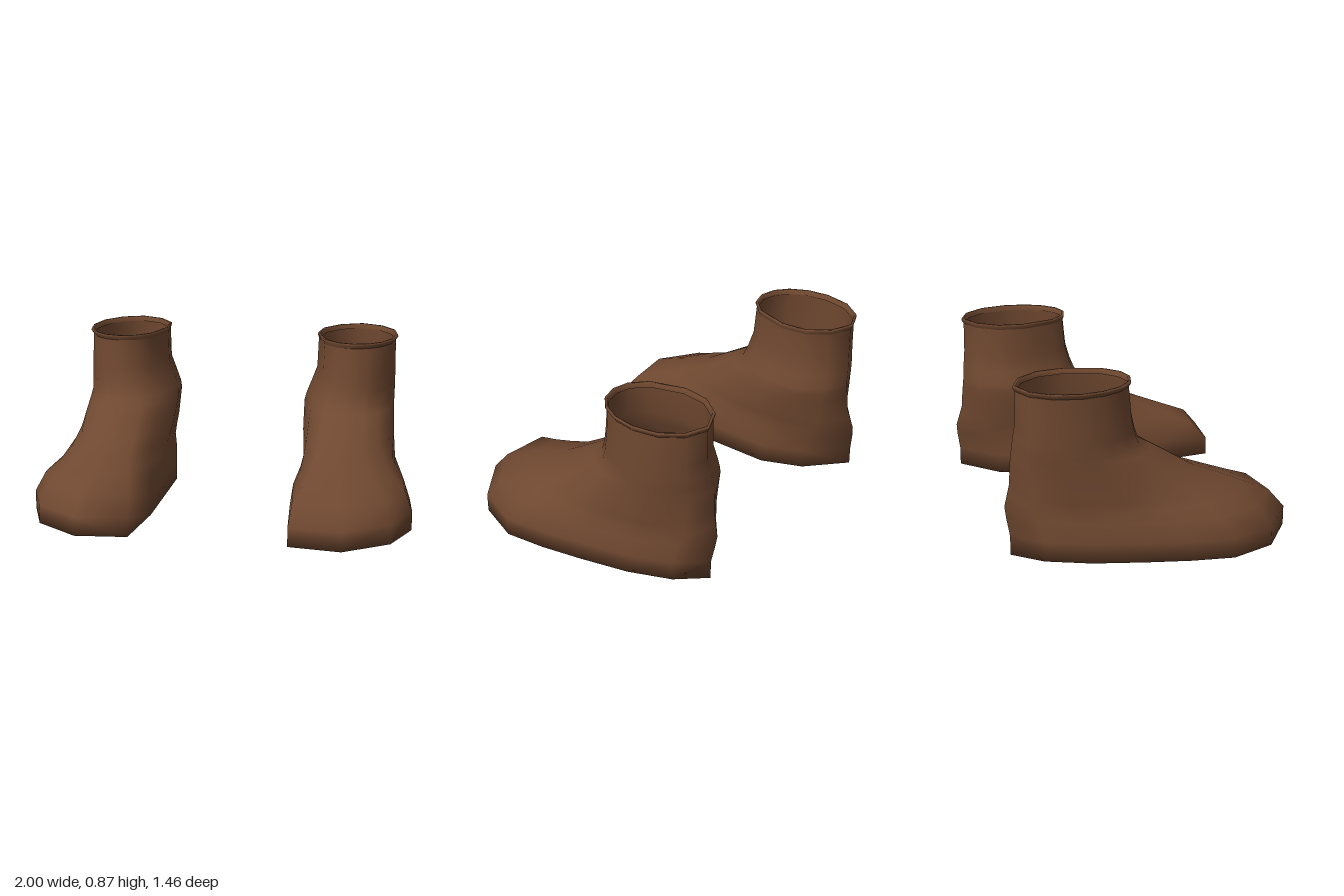
import * as THREE from 'three';

// Outlines as [u, v]: u across (-1 inner, 1 outer), v from heel (0) to toe (1)
const SOLE = [[-0.1, 0], [0.3, 0.1], [0.58, 0.25], [0.78, 0.43], [0.92, 0.58], [1, 0.73], [0.71, 0.89],
  [-0.02, 1], [-0.88, 0.98], [-1, 0.73], [-1, 0.5], [-1, 0.28], [-0.72, 0.13]];
const OVAL = [[0, 0], [0.52, 0.08], [0.88, 0.26], [1, 0.5], [0.92, 0.7], [0.7, 0.86], [0.4, 0.96],
  [0, 1], [-0.4, 0.96], [-0.75, 0.83], [-1, 0.52], [-0.92, 0.28], [-0.55, 0.09]];

// Horizontal sections: y, inner x, outer x, back z, front z, blend from sole outline to oval
const SHELL = [
  [0, 0.37, 1, -0.71, 0.73, 0],
  [0.1, 0.37, 1, -0.71, 0.73, 0],
  [0.195, 0.375, 0.955, -0.725, 0.65, 0.05],
  [0.25, 0.385, 0.89, -0.73, 0.52, 0.3],
  [0.305, 0.375, 0.87, -0.715, 0.39, 0.6],
  [0.36, 0.365, 0.86, -0.7, 0.25, 0.8],
  [0.44, 0.36, 0.855, -0.695, 0.12, 0.9],
  [0.5, 0.357, 0.85, -0.69, 0.02, 0.95],
  [0.535, 0.365, 0.85, -0.685, -0.04, 1],
  [0.6, 0.39, 0.85, -0.68, -0.065, 1],
  [0.68, 0.42, 0.85, -0.67, -0.085, 1],
  [0.84, 0.425, 0.847, -0.668, -0.1, 1],
];
const RIM = [
  [0.84, 0.425, 0.847, -0.668, -0.1, 1],
  [0.858, 0.418, 0.86, -0.68, -0.09, 1],
  [0.867, 0.42, 0.858, -0.678, -0.092, 1],
  [0.867, 0.432, 0.846, -0.665, -0.105, 1],
  [0.84, 0.435, 0.84, -0.66, -0.108, 1],
];

// One closed section; the blended outline is rescaled to fill its width
function section([y, xi, xo, zb, zf, k], side) {
  const pts = SOLE.map(([u, v], i) => [
    THREE.MathUtils.lerp(u, OVAL[i][0], k), THREE.MathUtils.lerp(v, OVAL[i][1], k)]);
  const us = pts.map(p => p[0]);
  const lo = Math.min(...us), hi = Math.max(...us);
  return pts.map(([u, v]) => [
    side * (xi + (xo - xi) * (u - lo) / (hi - lo)), y, zb + (zf - zb) * v]);
}

// Skin the sections, optionally closing the bottom with a sole
function loft(rows, side, closeBottom) {
  const n = SOLE.length, pos = [], index = [];
  const tri = (a, b, c) => (side > 0 ? index.push(a, b, c) : index.push(a, c, b));
  rows.forEach(r => section(r, side).forEach(p => pos.push(...p)));
  for (let j = 0; j < rows.length - 1; j++) {
    for (let i = 0; i < n; i++) {
      const a = j * n + i, b = j * n + (i + 1) % n;
      tri(a, a + n, b);
      tri(b, a + n, b + n);
    }
  }
  if (closeBottom) {
    const c = pos.length / 3;
    pos.push(side * 0.66, 0, 0.05);
    for (let i = 0; i < n; i++) tri(i, (i + 1) % n, c);
  }
  const g = new THREE.BufferGeometry();
  g.setAttribute('position', new THREE.Float32BufferAttribute(pos, 3));
  g.setIndex(index);
  g.computeVertexNormals();
  return g;
}

export function createModel() {
  const leather = new THREE.MeshStandardMaterial({ color: 0x6f4830, side: THREE.DoubleSide });
  leather.name = 'brownLeather';
  const model = new THREE.Group();
  model.name = 'boots';

  for (const [side, name] of [[1, 'leftBoot'], [-1, 'rightBoot']]) {
    const boot = new THREE.Group();
    boot.name = name;
    const shell = new THREE.Mesh(loft(SHELL, side, true), leather);
    shell.name = 'bootShell';
    const rim = new THREE.Mesh(loft(RIM, side, false), leather);
    rim.name = 'ankleRim';
    boot.add(shell, rim);
    model.add(boot);
  }
  return model;
}
